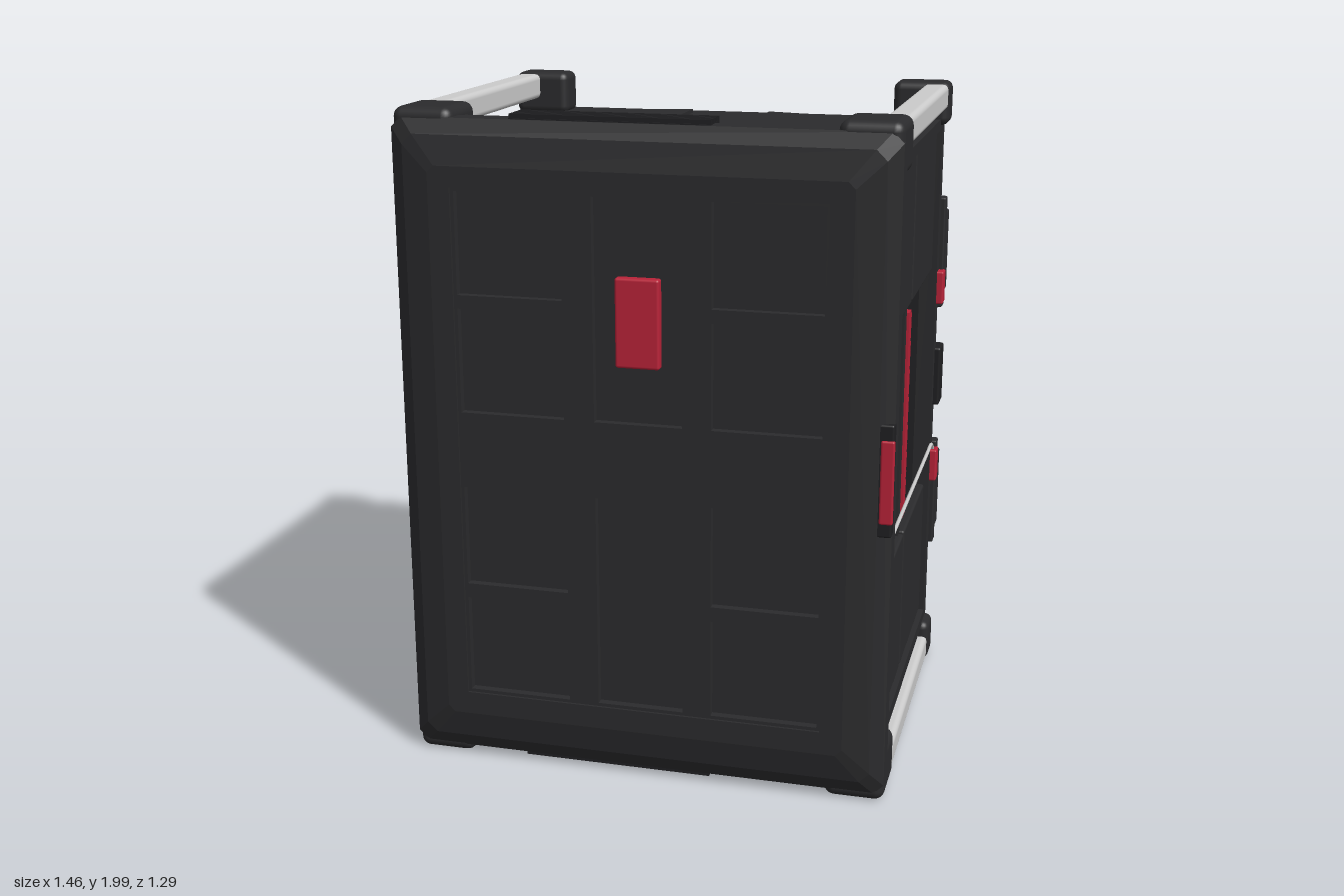
import * as THREE from 'three';
import { RoundedBoxGeometry } from 'three/addons/geometries/RoundedBoxGeometry.js';

const paint = (color) => new THREE.MeshStandardMaterial({ color });
const black = paint(0x2b2b2d), dark = paint(0x1f1f21), red = paint(0xb82238), grey = paint(0xcccccc);

export function createModel() {
  const model = new THREE.Group();

  const add = (name, geometry, material = black) => {
    const mesh = new THREE.Mesh(geometry, material);
    mesh.name = name;
    model.add(mesh);
    return mesh;
  };
  // Box given by its limits on each axis; r rounds the edges
  const box = (name, [x0, x1], [y0, y1], [z0, z1], material = black, r = 0) => {
    const s = [x1 - x0, y1 - y0, z1 - z0];
    const g = r ? new RoundedBoxGeometry(...s, 3, r) : new THREE.BoxGeometry(...s);
    g.translate((x0 + x1) / 2, (y0 + y1) / 2, (z0 + z1) / 2);
    return add(name, g, material);
  };
  const polygon = (points) => new THREE.Shape(points.map(([x, y]) => new THREE.Vector2(x, y)));
  const rect = (x0, x1, y0, y1) => polygon([[x0, y0], [x1, y0], [x1, y1], [x0, y1]]);
  const plate = (shape, holes, z0, z1) => {
    shape.holes.push(...holes);
    return new THREE.ExtrudeGeometry(shape, { depth: z1 - z0, bevelEnabled: false }).translate(0, 0, z0);
  };
  // Calls fn with limits for the upper side and mirrored for the lower side
  const upperAndLower = (fn) => {
    fn('upper', (a, b) => [a, b], 1);
    fn('lower', (a, b) => [2 - b, 2 - a], -1);
  };

  // Body shell
  box('body', [-0.70, 0.64], [0.13, 1.87], [-0.55, 0.525]);
  box('backPanel', [-0.705, 0.69], [0.13, 1.87], [-0.578, -0.54], black, 0.01);

  // Door: straight rim, then a slope to the front face, with clipped corners
  const ring = (w, h, z, c) => [
    [w - c, -h], [w, c - h], [w, h - c], [w - c, h], [c - w, h], [-w, h - c], [-w, c - h], [c - w, -h],
  ].map(([x, y]) => [x, y + 1, z]);
  const rings = [ring(0.73, 0.97, 0.535, 0.03), ring(0.73, 0.97, 0.6, 0.03),
    ring(0.69, 0.925, 0.625, 0.03), ring(0.61, 0.84, 0.643, 0.02)];
  const corners = [];
  for (let k = 0; k < rings.length - 1; k++) {
    for (let i = 0; i < 8; i++) {
      const j = (i + 1) % 8;
      const [a, b, c, d] = [rings[k][i], rings[k][j], rings[k + 1][j], rings[k + 1][i]];
      corners.push(...a, ...b, ...c, ...a, ...c, ...d);
    }
  }
  const rim = new THREE.BufferGeometry();
  rim.setAttribute('position', new THREE.Float32BufferAttribute(corners, 3));
  rim.computeVertexNormals();
  add('doorRim', rim);
  box('doorBack', [-0.72, 0.72], [0.05, 1.95], [0.535, 0.59]);
  const face = polygon(rings[3].map(([x, y]) => [x, y]));
  add('doorFace', plate(face, [rect(-0.545, 0.543, 0.23, 1.78)], 0.6, 0.643));

  // Door panel with sunken pockets
  const pockets = [];
  for (const [y0, y1] of [[1.47, 1.77], [1.12, 1.43], [0.585, 0.89], [0.24, 0.54]]) {
    pockets.push(rect(-0.535, -0.22, y0, y1), rect(0.215, 0.533, y0, y1));
  }
  for (const [y0, y1] of [[1.12, 1.77], [0.24, 0.89]]) pockets.push(rect(-0.13, 0.13, y0, y1));
  add('doorPanel', plate(rect(-0.545, 0.543, 0.23, 1.78), pockets, 0.59, 0.636));
  box('pocketFloor', [-0.545, 0.543], [0.23, 1.78], [0.58, 0.612]);

  // Red badge plate and edge latch on the door
  box('doorPlate', [-0.065, 0.065], [1.285, 1.545], [0.6, 0.638], red, 0.008);
  box('doorLatchBase', [0.685, 0.731], [0.84, 1.17], [0.58, 0.624], dark, 0.006);
  box('doorLatch', [0.695, 0.734], [0.88, 1.125], [0.612, 0.63], red, 0.006);

  upperAndLower((end, ys, sy) => {
    // Lip joining door and body, with the slatted vent
    box(`${end}Lip`, [-0.71, 0.71], ys(1.84, 1.965), [0.475, 0.6], black, 0.01);
    box(`${end}VentBase`, [-0.38, 0.2], ys(1.95, 1.973), [0.485, 0.593], dark);
    for (let i = 0; i < 6; i++) {
      const z = 0.487 + i * 0.018;
      box(`${end}VentSlat`, [-0.38, 0.2], ys(1.96, 1.985), [z, z + 0.011], dark);
    }
    for (const s of [-1, 1]) {
      // Corner guards and carrying bars
      const xs = (a, b) => (s > 0 ? [a, b] : [-b, -a]);
      box(`${end}FrontCorner`, xs(0.55, 0.73), ys(1.84, 1.997), [0.4, 0.602], black, 0.03);
      box(`${end}RearCorner`, xs(0.55, 0.73), ys(1.86, 1.997), [-0.552, -0.437], black, 0.025);
      box(`${end}Bar`, xs(0.645, 0.725), ys(1.91, 1.99), [-0.46, 0.42], grey, 0.018);
      // Shallow sloping ribs across the shell
      const y = 1 + sy * 0.868;
      const wedge = polygon([[s * 0.13, y], [s * 0.13, y + sy * 0.014], [s * 0.43, y + sy * 0.005], [s * 0.43, y]]);
      add(`${end}Rib`, plate(wedge, [], -0.5, 0.42));
    }
  });

  // Side frame and panels on the left side, drawn in a (-z, y) plane
  const sidePlate = (name, shape, holes, x0, x1, material) =>
    add(name, plate(shape, holes, x0, x1).rotateY(Math.PI / 2), material);
  sidePlate('sideFrame', rect(-0.525, 0.55, 0.13, 1.88), [rect(-0.518, 0.49, 0.17, 1.845)], 0.62, 0.705);
  for (const [z1, z0] of [[0.515, 0.275], [0.255, 0.02], [0.0, -0.483]]) {
    box('sidePanelUpper', [0.62, 0.69], [1.38, 1.84], [z0, z1], black, 0.008);
    box('sidePanelLower', [0.62, 0.69], [0.175, 0.635], [z0, z1], black, 0.008);
    box('recessFloor', [0.62, 0.65], [0.635, 1.38], [z0, z1], dark);
  }
  for (const z of [0.27, 0.01]) {
    box('recessDivider', [0.62, 0.675], [0.635, 1.38], [z, z + 0.04]);
  }

  // Red toothed racks in the recess
  for (const z of [0.495, 0.243, -0.013]) {
    const outline = [[-z, 1.34], [-z, 0.675]];
    const teeth = 22, pitch = 0.665 / teeth;
    for (let i = 0; i < teeth; i++) {
      const y = 0.675 + i * pitch;
      outline.push([-z + 0.06, y], [-z + 0.06, y + pitch * 0.6], [-z + 0.052, y + pitch * 0.6], [-z + 0.052, y + pitch]);
    }
    sidePlate('rack', polygon(outline), [], 0.64, 0.68, red);
  }

  // Cord and its clips
  const cord = new THREE.CatmullRomCurve3([[0.78, 0.53], [0.78, 0.3], [0.78, 0], [0.78, -0.4], [0.78, -0.475], [0.765, -0.51], [0.735, -0.54]]
    .map(([y, z]) => new THREE.Vector3(0.71, y, z)));
  add('cord', new THREE.TubeGeometry(cord, 48, 0.006, 8), grey);
  for (const y of [0.64, 1.26]) {
    box('cordClip', [0.67, 0.727], [y, y + 0.11], [-0.56, -0.505], red, 0.006);
  }

  // Rear hinges with stepped ends, and the catch between them
  for (const y of [0.4, 1.24]) {
    box('hingeBase', [0.33, 0.72], [y, y + 0.37], [-0.6, -0.55], black, 0.006);
    box('hingeLeaf', [0.325, 0.69], [y, y + 0.37], [-0.643, -0.59], black, 0.006);
    box('hingeKnuckle', [0.67, 0.722], [y + 0.05, y + 0.32], [-0.643, -0.59], black, 0.006);
  }
  box('catchPlate', [0.37, 0.7], [0.75, 1.26], [-0.592, -0.56]);
  box('catch', [0.52, 0.725], [0.905, 1.105], [-0.615, -0.525], dark, 0.008);

  return model;
}
